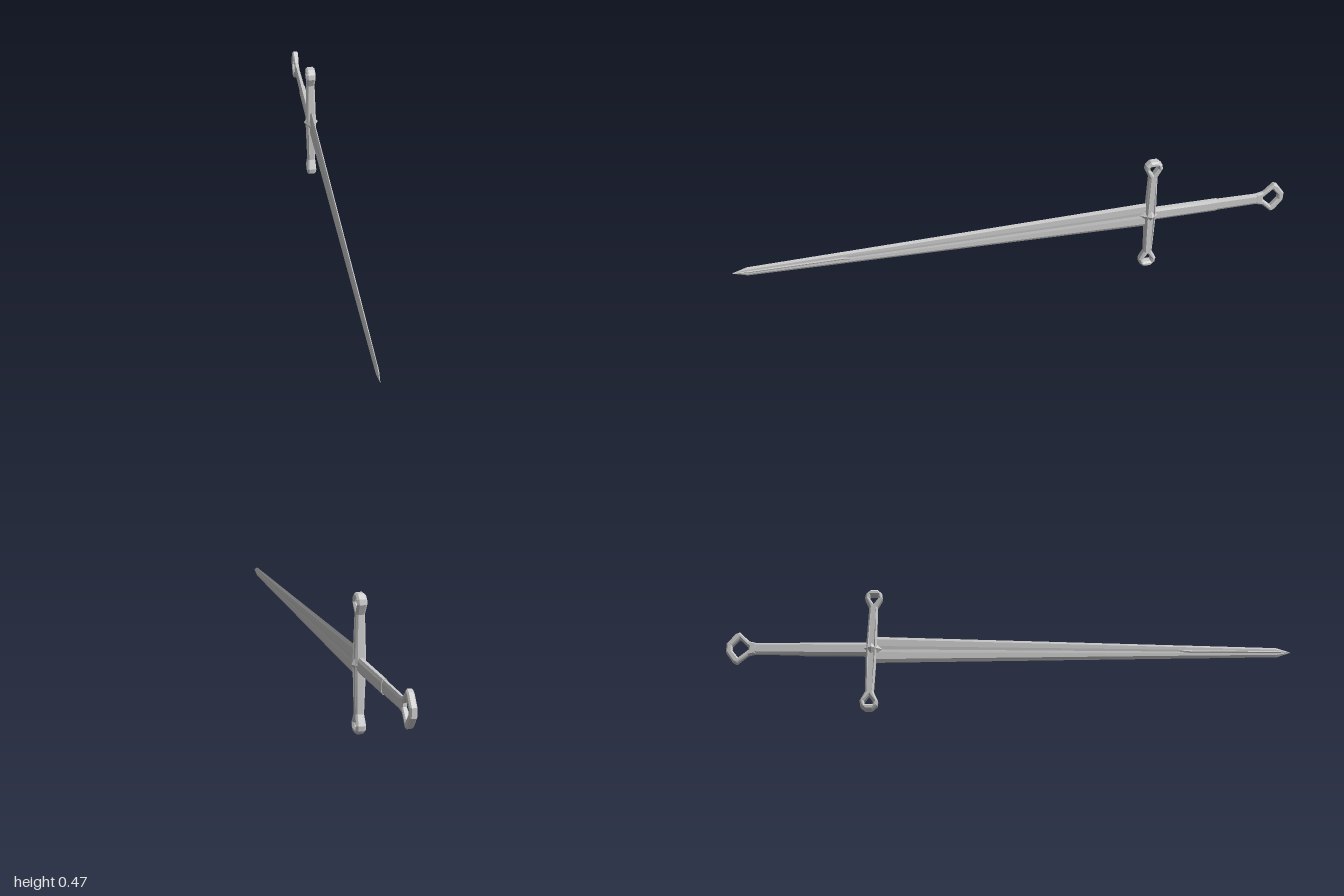
import * as THREE from 'three';

const material = new THREE.MeshStandardMaterial({ color: 0xcccccc, flatShading: true });
const AXIS_Y = 0.234; // height of the sword's long axis

function addMesh(group, name, geometry) {
  const mesh = new THREE.Mesh(geometry, material);
  mesh.name = name;
  mesh.position.y = AXIS_Y;
  group.add(mesh);
  return mesh;
}

// Joins counter-clockwise rings ([x, y] points) along z, from low z to high z.
function loft(sections) {
  const pos = [];
  const n = sections[0].ring.length;
  const put = (s, j) => pos.push(...s.ring[j % n], s.z);
  const tri = (...corners) => corners.forEach(([s, j]) => put(s, j));
  for (let i = 0; i < sections.length - 1; i++) {
    const a = sections[i], b = sections[i + 1];
    for (let j = 0; j < n; j++) {
      tri([a, j], [a, j + 1], [b, j + 1]);
      tri([a, j], [b, j + 1], [b, j]);
    }
  }
  const first = sections[0], last = sections[sections.length - 1];
  for (let j = 1; j < n - 1; j++) {
    tri([first, 0], [first, j + 1], [first, j]);
    tri([last, 0], [last, j], [last, j + 1]);
  }
  const g = new THREE.BufferGeometry();
  g.setAttribute('position', new THREE.Float32BufferAttribute(pos, 3));
  g.computeVertexNormals();
  return g;
}

// Chamfered plate drawn in (z, y), one unit half-thickness in x, scaled by a rule.
function plate(outline, holes, bevel, halfThickness) {
  const toVec = (p) => new THREE.Vector2(p[0], p[1]);
  const shape = new THREE.Shape(outline.map(toVec));
  shape.holes = holes.map((h) => new THREE.Path(h.map(toVec)));
  const g = new THREE.ExtrudeGeometry(shape, {
    depth: 1.2, bevelEnabled: true, bevelThickness: 0.4,
    bevelSize: bevel, bevelOffset: -bevel, bevelSegments: 1, curveSegments: 1,
  });
  g.translate(0, 0, -0.6);
  g.rotateY(-Math.PI / 2);
  const p = g.attributes.position;
  for (let i = 0; i < p.count; i++) p.setX(i, p.getX(i) * halfThickness(p.getY(i), p.getZ(i)));
  g.computeVertexNormals();
  return g;
}

// Blade section: sharp edges, flat bevel shoulders and a middle groove or ridge.
function bladeRing(h, t, bevel, midWidth, mid) {
  const right = [[0, -h], [t, -h + bevel], [t, -midWidth], [mid, 0], [t, midWidth], [t, h - bevel]];
  return [...right, ...right.map(([x, y]) => [-x, -y])];
}

function octagon(hx, hy) {
  const cx = hx * 0.5, cy = hy * 0.6;
  return [[hx, -cy], [hx, cy], [cx, hy], [-cx, hy], [-hx, cy], [-hx, -cy], [-cx, -hy], [cx, -hy]];
}

export function createModel() {
  const group = new THREE.Group();
  group.name = 'sword';

  // Blade, pointing forward
  addMesh(group, 'blade', loft([
    { z: -0.48, ring: bladeRing(0.051, 0.006, 0.012, 0.012, 0.0045) },
    { z: 0.6, ring: bladeRing(0.026, 0.005, 0.009, 0.007, 0.004) },
    { z: 0.63, ring: bladeRing(0.0255, 0.005, 0.009, 0.005, 0.007) },
    { z: 0.95, ring: bladeRing(0.018, 0.004, 0.008, 0.004, 0.006) },
    { z: 1.0, ring: bladeRing(0.001, 0.0006, 0.0005, 0.0003, 0.0006) },
  ]));

  // Crossguard with a pierced knob at both ends
  const gz = -0.488;
  const arm = [[0.019, 0], [0.015, 0.165], [0.032, 0.2], [0.029, 0.218], [0.013, 0.233]];
  const upper = [...arm, ...arm.slice(1).reverse().map(([z, y]) => [-z, y])];
  const outline = [...upper, ...upper.map(([z, y]) => [-z, -y])].map(([z, y]) => [z + gz, y]);
  const eye = [[0, 0.178], [0.016, 0.201], [0.013, 0.212], [-0.013, 0.212], [-0.016, 0.201]];
  const guardEyes = [1, -1].map((s) => eye.map(([z, y]) => [gz + z * s, y * s]));
  addMesh(group, 'crossguard', plate(outline, guardEyes, 0.006, (y) => {
    const d = Math.abs(y);
    return d < 0.175 ? 0.019 - 0.0045 * (d / 0.175) : Math.min(0.0168, 0.0145 + (d - 0.175) * 0.1);
  }));

  // Pointed boss at the middle of the guard
  const boss = new THREE.OctahedronGeometry(1, 0);
  boss.scale(0.027, 0.045, 0.047);
  addMesh(group, 'guardBoss', boss).position.z = gz;

  // Grip: thicker sleeve near the guard, slimmer towards the pommel
  addMesh(group, 'gripSleeve', loft([
    { z: -0.742, ring: octagon(0.011, 0.0245) },
    { z: -0.49, ring: octagon(0.0125, 0.0245) },
  ]));
  addMesh(group, 'gripRear', loft([
    { z: -0.915, ring: octagon(0.008, 0.021) },
    { z: -0.74, ring: octagon(0.009, 0.0225) },
  ]));

  // Open diamond pommel
  const half = [[-0.895, 0.021], [-0.92, 0.027], [-0.957, 0.061], [-0.972, 0.054], [-1.0, 0.016]];
  const mirror = (pts) => pts.slice().reverse().map(([z, y]) => [z, -y]);
  const hole = [[-0.922, 0.006], [-0.955, 0.037], [-0.979, 0.008]];
  addMesh(group, 'pommel', plate([...half, ...mirror(half)], [[...hole, ...mirror(hole)]], 0.005,
    (y, z) => (z > -0.93 ? 0.0085 : 0.0115)));

  return group;
}
